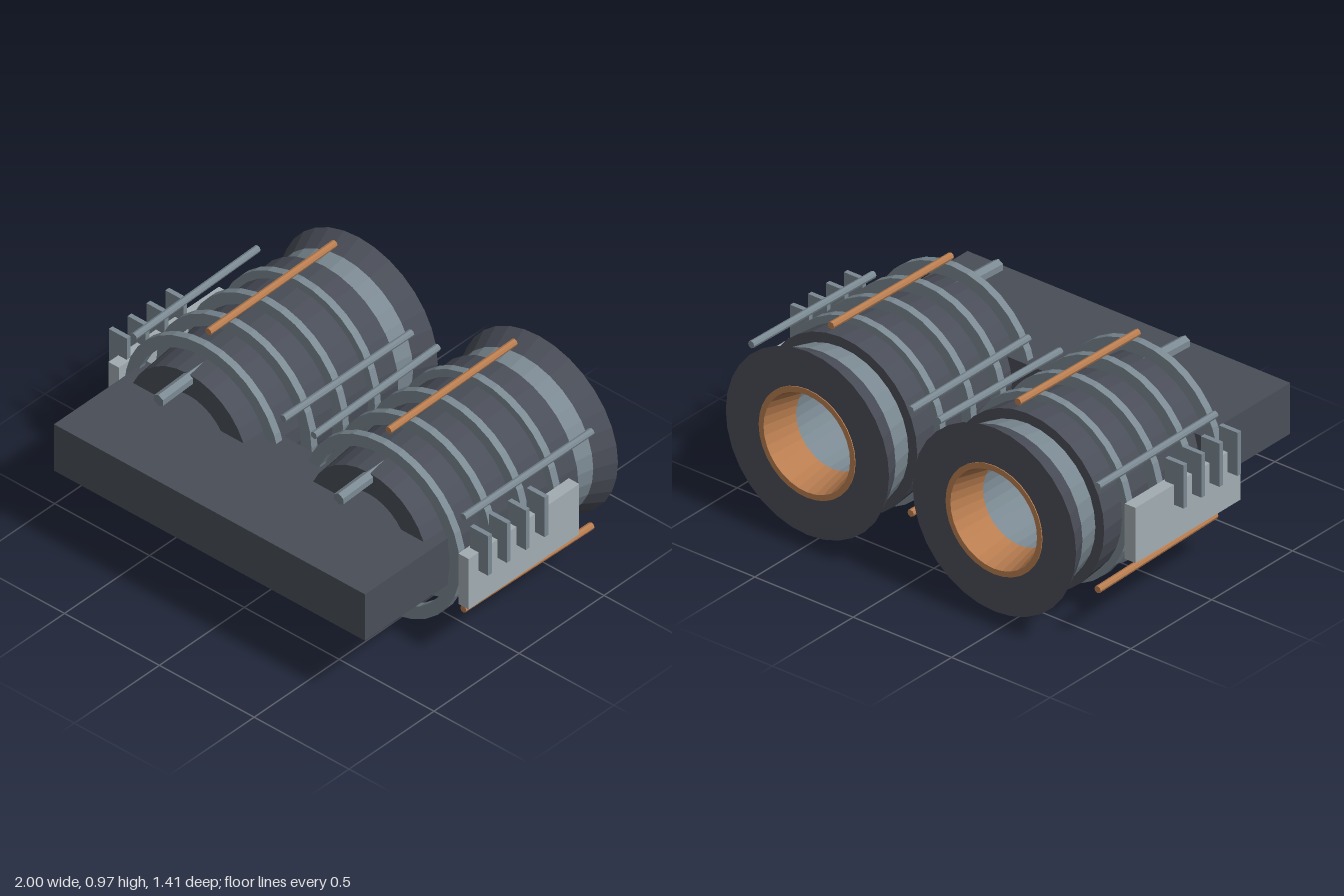
import * as THREE from 'three';

const dark = new THREE.MeshStandardMaterial({ color: 0x4a4e58 });
dark.name = 'dark hull';
const steel = new THREE.MeshStandardMaterial({ color: 0x7b8992 });
steel.name = 'steel';
const pale = new THREE.MeshStandardMaterial({ color: 0xa3adb2 });
pale.name = 'pale panel';
const copper = new THREE.MeshStandardMaterial({ color: 0xb97d50 });
copper.name = 'copper';

const ENGINE_X = 0.475, ENGINE_Y = 0.485, SIDES = 32;

function add(parent, name, geometry, material) {
  const flat = geometry.index ? geometry.toNonIndexed() : geometry;
  flat.computeVertexNormals(); // faceted look
  const mesh = new THREE.Mesh(flat, material);
  mesh.name = name;
  parent.add(mesh);
  return mesh;
}

// Surface turned around the z axis; profile is [radius, z] pairs
function turned(profile) {
  const points = profile.map(([r, z]) => new THREE.Vector2(r, z));
  return new THREE.LatheGeometry(points, SIDES).rotateX(Math.PI / 2);
}

// Straight rod between two points
function rod(a, b, radius, sides) {
  const dir = b.clone().sub(a);
  const g = new THREE.CylinderGeometry(radius, radius, dir.length(), sides);
  g.applyQuaternion(new THREE.Quaternion().setFromUnitVectors(
    new THREE.Vector3(0, 1, 0), dir.clone().normalize()));
  const mid = a.clone().add(b).multiplyScalar(0.5);
  return g.translate(mid.x, mid.y, mid.z);
}

const polar = (angle, r, z) => new THREE.Vector3(Math.cos(angle) * r, Math.sin(angle) * r, z);

function createEngine() {
  const engine = new THREE.Group();
  engine.name = 'engine';

  // Tapered casing, neck and flared bell
  add(engine, 'casing', turned([[0.3, -0.5], [0.39, -0.5], [0.315, 0.3], [0.21, 0.3]]), dark);
  add(engine, 'neck', turned([[0.37, -0.61], [0.345, -0.5]]), steel);
  add(engine, 'bell', turned([[0.22, -0.705], [0.415, -0.705], [0.37, -0.61]]), dark);

  // Open bore with a copper nozzle at the back
  add(engine, 'boreLiner', turned([[0.21, 0.3], [0.21, -0.55]]), steel);
  add(engine, 'nozzle', turned([[0.21, -0.55], [0.185, -0.55], [0.22, -0.709],
    [0.245, -0.709], [0.245, -0.7]]), copper);

  // Hoops around the casing
  for (const z of [0.2, 0.015, -0.17, -0.358]) {
    const a = z - 0.0175, b = z + 0.0175;
    add(engine, 'hoop', turned([[0.355, a], [0.41, a], [0.41, b], [0.355, b], [0.355, a]]), steel);
  }

  // Six long rods, alternately steel and copper
  for (let i = 0; i < 6; i++) {
    const angle = Math.PI / 6 + i * Math.PI / 3;
    add(engine, i % 2 ? 'copperRod' : 'steelRod',
      rod(polar(angle, 0.455, 0.182), polar(angle, 0.468, -0.56), 0.016, 8),
      i % 2 ? copper : steel);
  }

  // Front struts above and below the bore
  for (const angle of [Math.PI / 2, -Math.PI / 2]) {
    add(engine, 'strut', rod(polar(angle, 0.283, 0.475), polar(angle, 0.296, 0.2), 0.028, 6), steel);
  }
  return engine;
}

function createSidePod(side) {
  const pod = new THREE.Group();
  pod.name = side > 0 ? 'leftPod' : 'rightPod';
  // Equipment box with four cooling fins
  add(pod, 'podBox', new THREE.BoxGeometry(0.055, 0.25, 0.65), pale)
    .position.set(side * 0.9225, 0.455, -0.085);
  for (let i = 0; i < 4; i++) {
    add(pod, 'fin', new THREE.BoxGeometry(0.095, 0.195, 0.022), steel)
      .position.set(side * 0.9525, 0.5875, 0.171 - i * 0.111);
  }
  return pod;
}

export function createModel() {
  const model = new THREE.Group();
  model.name = 'twinEngine';

  // Cross beam joining both engines
  add(model, 'crossBeam', new THREE.BoxGeometry(1.64, 0.23, 0.545), dark)
    .position.set(0, 0.49, 0.4325);

  for (const side of [1, -1]) {
    const engine = createEngine();
    engine.position.set(side * ENGINE_X, ENGINE_Y, 0);
    model.add(engine, createSidePod(side));
  }
  return model;
}
